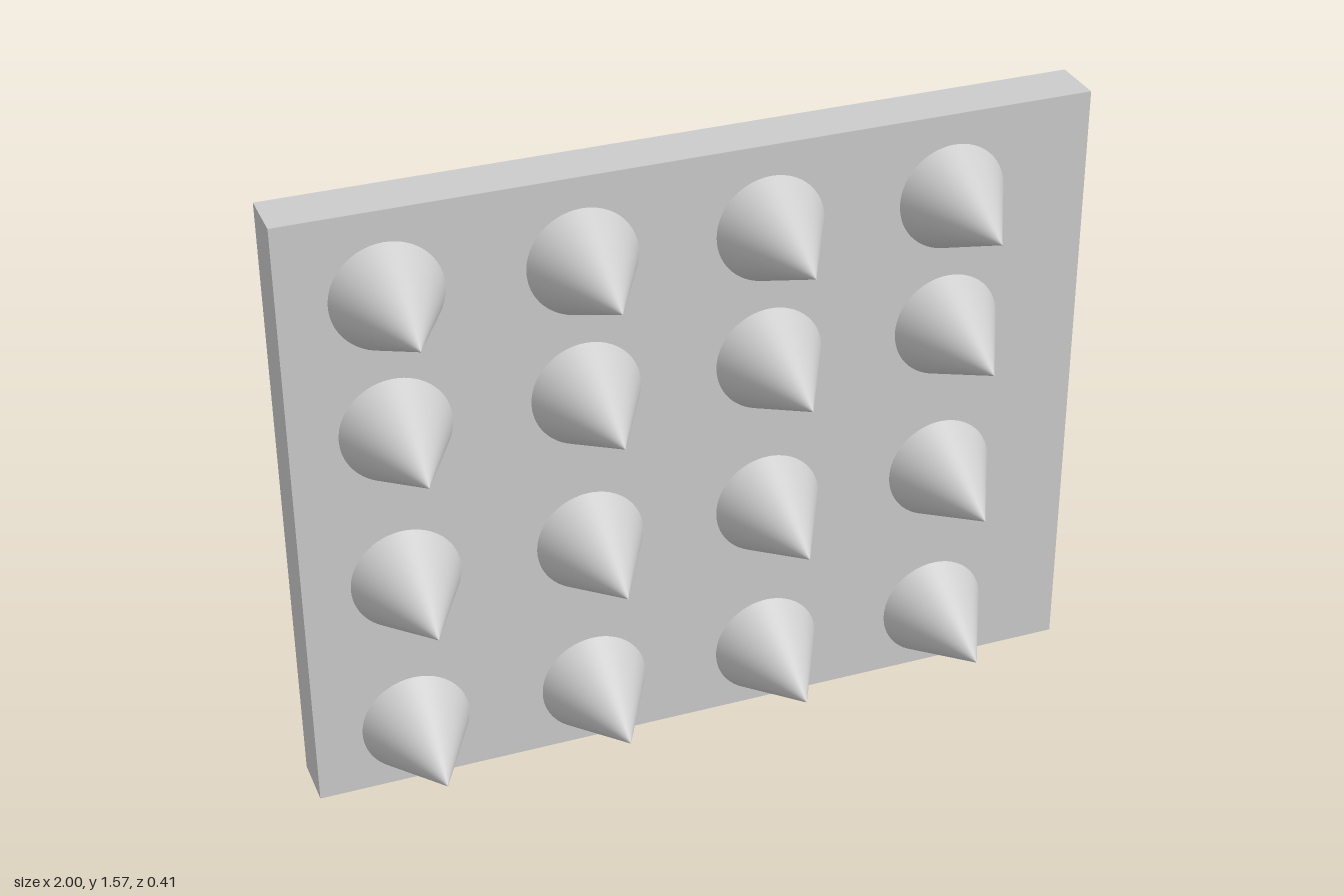
import * as THREE from 'three';

export function createModel() {
  const model = new THREE.Group();
  const material = new THREE.MeshStandardMaterial({ color: 0xcccccc });

  const height = 1.565;
  const backZ = -0.204, faceZ = -0.067, tipZ = 0.204;

  // Flat upright backing board
  const board = new THREE.Mesh(new THREE.BoxGeometry(2, height, faceZ - backZ), material);
  board.name = 'board';
  board.position.set(0, height / 2, (backZ + faceZ) / 2);
  model.add(board);

  // Cone spikes: base on the board's face, tip pointing forward
  const spikeGeometry = new THREE.ConeGeometry(0.136, tipZ - faceZ, 64);
  spikeGeometry.rotateX(Math.PI / 2);

  const spikes = new THREE.Group();
  spikes.name = 'spikes';
  const columns = [-0.746, -0.284, 0.179, 0.645];
  const rows = [0.165, 0.59, 1.002, 1.35];
  rows.forEach((y, r) => columns.forEach((x, c) => {
    const spike = new THREE.Mesh(spikeGeometry, material);
    spike.name = `spikeRow${r + 1}Column${c + 1}`;
    spike.position.set(x, y, (faceZ + tipZ) / 2);
    spikes.add(spike);
  }));
  model.add(spikes);

  return model;
}
